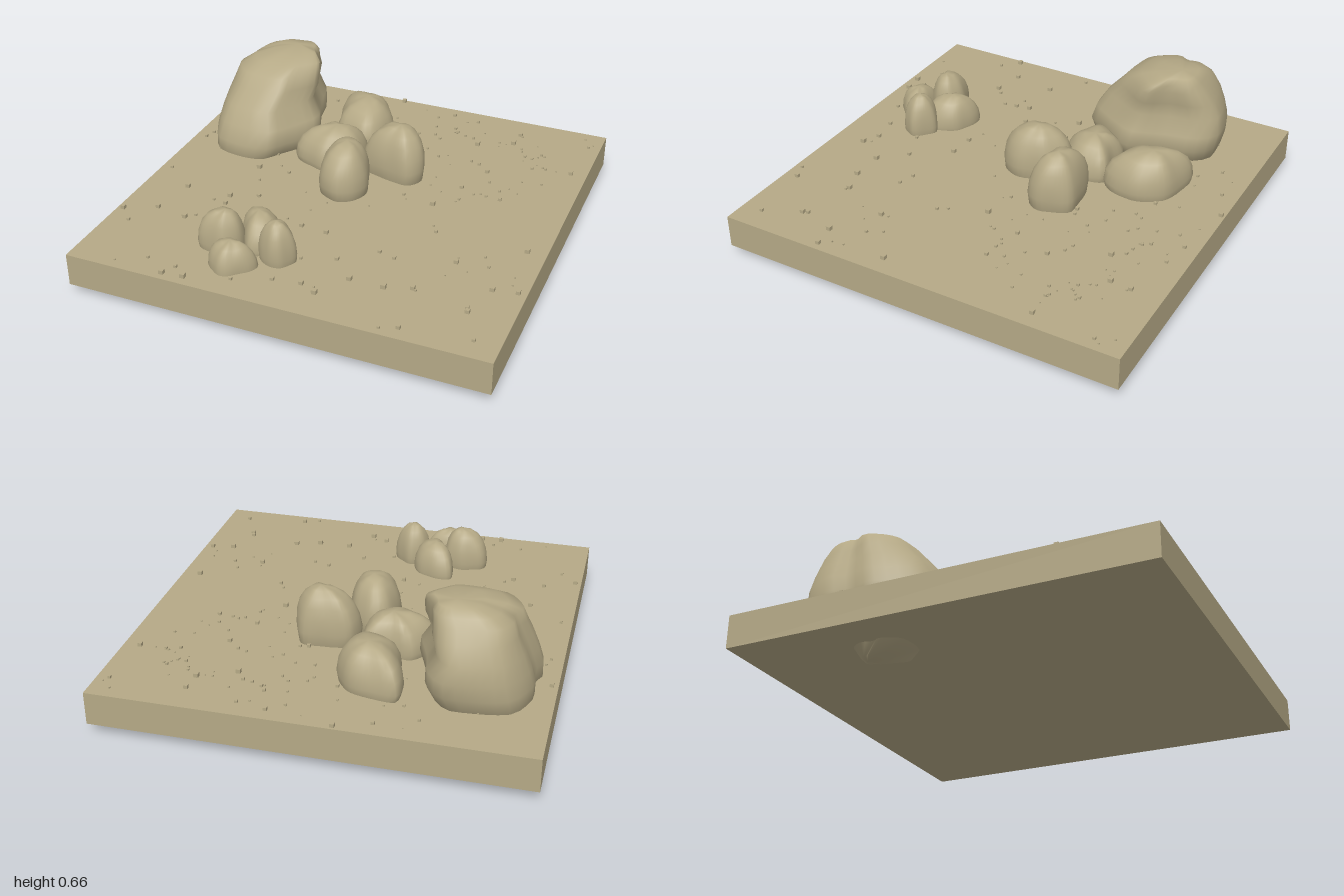
import * as THREE from 'three';
import { mergeGeometries, mergeVertices } from 'three/addons/utils/BufferGeometryUtils.js';

const sand = new THREE.MeshStandardMaterial({ color: 0xb5a986 });
sand.name = 'sandstone';
const GROUND = 0.21;

// Small seeded random generator
function seeded(seed) {
  return () => {
    seed = (seed * 16807) % 2147483647;
    return seed / 2147483647;
  };
}

// Lofts a plan outline of [x, z] points through levels of [y, x0, x1, z0, z1]
function rock(name, outline, levels, lump, phase) {
  const N = 36;
  const curve = new THREE.CatmullRomCurve3(
    outline.map(([x, z]) => new THREE.Vector3(x, 0, z)), true, 'catmullrom', 0.4);
  const ring = curve.getSpacedPoints(N).slice(0, N);
  const box = new THREE.Box3().setFromPoints(ring);
  const size = box.getSize(new THREE.Vector3());
  const pos = [], index = [];
  levels.forEach(([y, x0, x1, z0, z1], i) => {
    const cx = (x0 + x1) / 2, cz = (z0 + z1) / 2;
    ring.forEach((p) => {
      const x = x0 + (x1 - x0) * (p.x - box.min.x) / size.x;
      const z = z0 + (z1 - z0) * (p.z - box.min.z) / size.z;
      // Gentle lumps, stronger at the sides than at the poles
      const a = Math.atan2(z - cz, x - cx);
      const k = 1 + lump * (Math.sin(3 * a + 9 * y + phase) + Math.sin(5 * a - 14 * y + 2 * phase));
      const h = x1 > x0 ? lump * 0.12 * Math.sin(4 * a + phase + i) : 0;
      pos.push(cx + (x - cx) * k, y + h, cz + (z - cz) * k);
    });
  });
  for (let i = 0; i < levels.length - 1; i++) {
    for (let j = 0; j < N; j++) {
      const a = i * N + j, b = i * N + (j + 1) % N;
      index.push(a, a + N, b, b, a + N, b + N);
    }
  }
  let geo = new THREE.BufferGeometry();
  geo.setAttribute('position', new THREE.Float32BufferAttribute(pos, 3));
  geo.setIndex(index);
  geo = mergeVertices(geo, 1e-5);
  geo.computeVertexNormals();
  const mesh = new THREE.Mesh(geo, sand);
  mesh.name = name;
  return mesh;
}

// Domed boulder: the outline shrinks toward a peak [x, y, z]
function boulder(name, outline, [px, py, pz], phase) {
  const xs = outline.map((p) => p[0]), zs = outline.map((p) => p[1]);
  const b = [Math.min(...xs), Math.max(...xs), Math.min(...zs), Math.max(...zs)];
  const profile = [[0, 0], [0.05, 0.7], [0.25, 0.95], [0.42, 1], [0.6, 0.95],
    [0.76, 0.82], [0.88, 0.62], [0.96, 0.36], [1, 0]];
  const levels = profile.map(([f, s]) => [
    0.12 + (py - 0.12) * f,
    ...b.map((v, i) => THREE.MathUtils.lerp(i < 2 ? px : pz, v, s)),
  ]);
  return rock(name, outline, levels, 0.018, phase);
}

export function createModel() {
  const model = new THREE.Group();
  model.name = 'rockyGround';

  // Ground slab
  const slab = new THREE.Mesh(new THREE.BoxGeometry(2, 0.16, 2), sand);
  slab.name = 'groundSlab';
  slab.position.y = GROUND - 0.08;
  model.add(slab);

  // Large rock, whose root pokes out under the slab
  model.add(rock('largeRock', [
    [-0.82, -0.74], [-0.55, -0.79], [-0.45, -0.7], [-0.42, -0.55], [-0.35, -0.38], [-0.4, -0.28],
    [-0.48, -0.17], [-0.52, -0.11], [-0.62, -0.09], [-0.8, -0.12], [-0.87, -0.2], [-0.93, -0.35],
    [-0.89, -0.46], [-0.91, -0.58]], [
    [0, -0.72, -0.72, -0.45, -0.45],
    [0.005, -0.77, -0.66, -0.47, -0.38],
    [0.05, -0.82, -0.55, -0.51, -0.23],
    [0.14, -0.89, -0.46, -0.69, -0.13],
    [0.21, -0.92, -0.4, -0.75, -0.1],
    [0.28, -0.92, -0.36, -0.77, -0.09],
    [0.36, -0.9, -0.37, -0.78, -0.12],
    [0.44, -0.87, -0.42, -0.76, -0.17],
    [0.52, -0.84, -0.4, -0.73, -0.24],
    [0.58, -0.82, -0.4, -0.69, -0.29],
    [0.62, -0.76, -0.41, -0.67, -0.36],
    [0.65, -0.67, -0.45, -0.64, -0.44],
    [0.66, -0.56, -0.56, -0.57, -0.57]], 0.01, 1));

  // Boulders beside the large rock
  model.add(boulder('backBoulder', [
    [-0.34, -0.75], [-0.22, -0.74], [-0.1, -0.71], [-0.03, -0.58], [-0.04, -0.46], [-0.11, -0.38],
    [-0.28, -0.44], [-0.32, -0.53], [-0.35, -0.65]], [-0.18, 0.42, -0.6], 0));
  model.add(boulder('middleBoulder', [
    [-0.33, -0.39], [-0.22, -0.38], [-0.1, -0.39], [-0.07, -0.26], [-0.13, -0.17], [-0.24, -0.12],
    [-0.38, -0.17], [-0.42, -0.24]], [-0.22, 0.4, -0.28], 2));
  model.add(boulder('rightBoulder', [
    [-0.04, -0.35], [0.08, -0.37], [0.2, -0.37], [0.26, -0.23], [0.2, -0.14], [0.07, -0.16],
    [-0.06, -0.22]], [0.13, 0.48, -0.26], 4));
  model.add(boulder('frontBoulder', [
    [-0.17, -0.17], [-0.09, -0.21], [0.01, -0.14], [0.05, 0], [0.02, 0.09], [-0.06, 0.13],
    [-0.16, 0.08], [-0.2, -0.04]], [-0.07, 0.46, -0.05], 5));

  // Small cluster near the front
  model.add(boulder('clusterBackStone', [
    [-0.35, 0.45], [-0.27, 0.44], [-0.18, 0.48], [-0.13, 0.57], [-0.15, 0.66], [-0.24, 0.69],
    [-0.31, 0.61], [-0.35, 0.53]], [-0.25, 0.37, 0.55], 1));
  model.add(boulder('clusterRightStone', [
    [-0.48, 0.6], [-0.38, 0.57], [-0.29, 0.6], [-0.28, 0.68], [-0.35, 0.74], [-0.47, 0.72],
    [-0.5, 0.66]], [-0.36, 0.41, 0.66], 3));
  model.add(boulder('clusterLeftStone', [
    [-0.18, 0.61], [-0.11, 0.57], [-0.05, 0.61], [-0.02, 0.66], [-0.06, 0.73], [-0.12, 0.74],
    [-0.2, 0.68]], [-0.11, 0.41, 0.66], 6));
  model.add(boulder('clusterFrontStone', [
    [-0.39, 0.73], [-0.28, 0.71], [-0.16, 0.74], [-0.17, 0.8], [-0.25, 0.87], [-0.31, 0.88],
    [-0.39, 0.81]], [-0.28, 0.34, 0.78], 2));

  // Pebbles: placed larger ones, then fine scattered grit
  const rand = seeded(73);
  const spots = [
    [-0.28, -0.92], [-0.12, -0.98], [0.19, -0.93], [0.58, -0.85], [0.57, -0.75], [0.4, -0.67],
    [-0.97, -0.44], [0.53, -0.42], [0.92, -0.56], [0.46, -0.23], [0.38, -0.03], [0.91, 0.19],
    [0.64, 0.39], [0.96, 0.51], [0.85, 0.53], [0.53, 0.65], [0.41, 0.69], [0.8, 0.72],
    [0.15, 0.84], [0.25, 0.69], [0.07, 0.8], [-0.06, 0.82], [-0.43, 0.95], [-0.53, 0.96],
    [-0.66, 0.52], [-0.82, 0.49], [-0.78, 0.27], [-0.55, 0.27], [-0.54, 0.34], [-0.42, 0.22],
    [-0.12, 0.38], [0.01, 0.39], [0.14, 0.57], [0.57, 0.93], [-0.97, 0.56], [-0.54, -0.03]];
  const pebbles = [];
  const pebble = (x, z, s) => pebbles.push(
    new THREE.BoxGeometry(s, s, s).translate(x, GROUND + s * 0.4, z));
  spots.forEach(([x, z]) => pebble(x, z, 0.015 + rand() * 0.007));
  for (let i = 0; i < 75; i++) pebble(rand() * 1.94 - 0.97, rand() * 1.94 - 0.97, 0.006 + rand() * 0.01);
  for (let i = 0; i < 45; i++) {
    const r = 0.42 * Math.sqrt(rand()), a = rand() * Math.PI * 2;
    pebble(0.42 + r * Math.cos(a), -0.47 + r * Math.sin(a), 0.006 + rand() * 0.007);
  }
  const grit = new THREE.Mesh(mergeGeometries(pebbles), sand);
  grit.name = 'pebbles';
  model.add(grit);

  return model;
}
